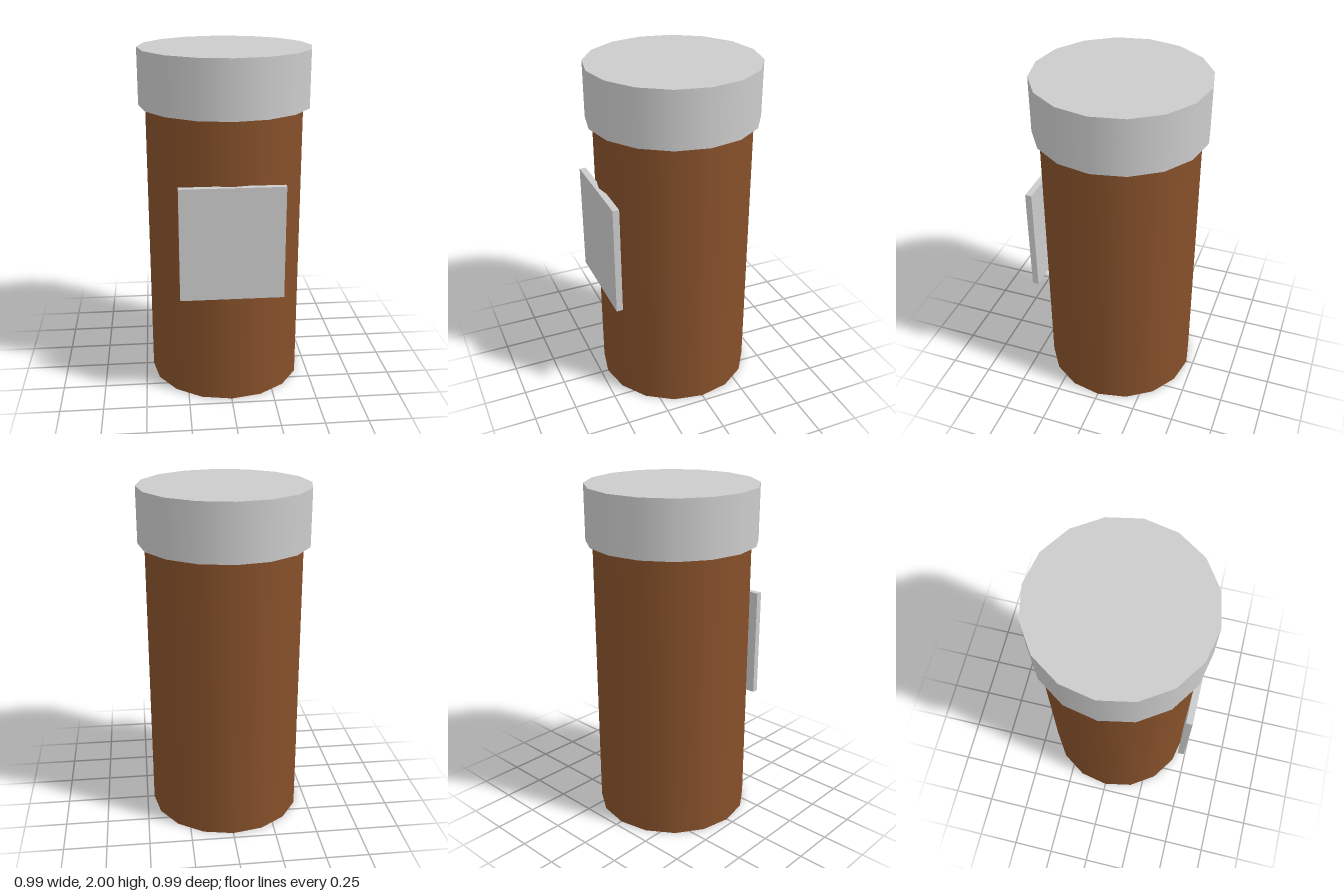
import * as THREE from 'three';

const SIDES = 16;

export function createModel() {
  const bottle = new THREE.Group();
  bottle.name = 'pillBottle';

  const brown = new THREE.MeshStandardMaterial({ color: 0x86502a });
  const grey = new THREE.MeshStandardMaterial({ color: 0xcccccc });

  const add = (name, geometry, material, y, z = 0) => {
    const mesh = new THREE.Mesh(geometry, material);
    mesh.name = name;
    mesh.position.set(0, y, z);
    bottle.add(mesh);
  };

  // Body: smooth-shaded sixteen-sided cylinder standing on the ground
  add('body', new THREE.CylinderGeometry(0.457, 0.457, 1.68, SIDES), brown, 0.84);

  // Cap: wider short cylinder overhanging the body
  add('cap', new THREE.CylinderGeometry(0.496, 0.496, 0.325, SIDES), grey, 1.8375);

  // Label: flat plate set into the front of the body
  add('label', new THREE.BoxGeometry(0.586, 0.652, 0.038), grey, 0.986, 0.459);

  return bottle;
}
